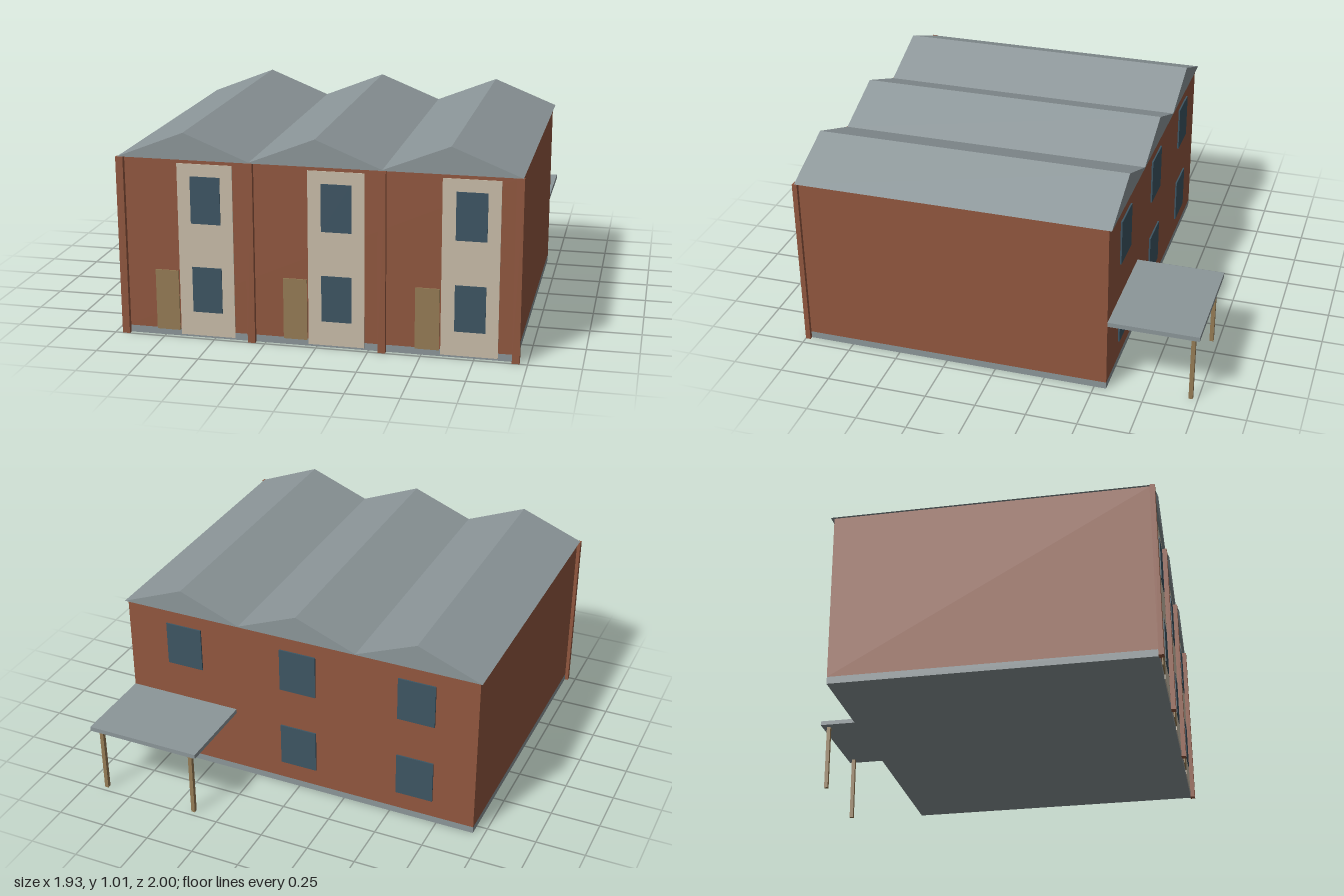
import * as THREE from 'three';

const mat = (name, color) => Object.assign(new THREE.MeshStandardMaterial({ color }), { name });

export function createModel() {
  const brick = mat('brick', 0x91573f);
  const slate = mat('slate grey', 0x8c9699);
  const render = mat('cream render', 0xc9bda9);
  const glass = mat('window blue', 0x3d5563);
  const wood = mat('wood', 0x957c55);

  const model = new THREE.Group();
  model.name = 'terracedHouses';

  // Box given by its limits on each axis
  const box = (name, material, [x0, x1], [y0, y1], [z0, z1]) => {
    const mesh = new THREE.Mesh(new THREE.BoxGeometry(x1 - x0, y1 - y0, z1 - z0), material);
    mesh.position.set((x0 + x1) / 2, (y0 + y1) / 2, (z0 + z1) / 2);
    mesh.name = name;
    model.add(mesh);
    return mesh;
  };

  const front = 0.977, back = -0.56, half = 0.945;
  const bays = [-0.63, 0, 0.63];
  const floors = [[0.13, 0.355], [0.57, 0.8]];

  // Main body
  box('foundation', slate, [-half, half], [0, 0.035], [back, front]);
  box('walls', brick, [-half, half], [0.035, 0.88], [back, front]);

  // Brick pilasters between the houses
  for (const x of [-0.945, -0.315, 0.315, 0.945]) {
    box('pilaster', brick, [x - 0.018, x + 0.018], [0, 0.88], [0.975, 1]);
  }

  // Front panel, door and windows of each house, with rear windows
  for (const x of bays) {
    box('frontPanel', render, [x - 0.039, x + 0.23], [0.01, 0.86], [front, front + 0.004]);
    box('door', wood, [x - 0.16, x - 0.045], [0.03, 0.33], [front, front + 0.006]);
    for (const y of floors) {
      box('frontWindow', glass, [x + 0.025, x + 0.17], y, [front + 0.003, front + 0.008]);
      box('rearWindow', glass, [x - 0.097, x + 0.097], y, [back - 0.008, back]);
    }
  }

  // Three-ridged roof, extruded from front to back
  const eave = 0.88, ridge = 1.01, valley = 0.884;
  const profile = new THREE.Shape();
  profile.moveTo(-0.957, eave);
  profile.lineTo(0.957, eave);
  profile.lineTo(0.63, ridge);
  profile.lineTo(0.315, valley);
  profile.lineTo(0, ridge);
  profile.lineTo(-0.315, valley);
  profile.lineTo(-0.63, ridge);
  profile.closePath();
  const roof = new THREE.Mesh(
    new THREE.ExtrudeGeometry(profile, { depth: 1.567, bevelEnabled: false }), slate);
  roof.position.z = -0.575;
  roof.name = 'roof';
  model.add(roof);

  // Rear canopy on two posts
  box('canopy', slate, [0.35, half], [0.355, 0.378], [-1, back]);
  for (const x of [0.395, 0.9]) {
    box('canopyPost', wood, [x - 0.01, x + 0.01], [0, 0.355], [-0.975, -0.955]);
  }

  return model;
}
